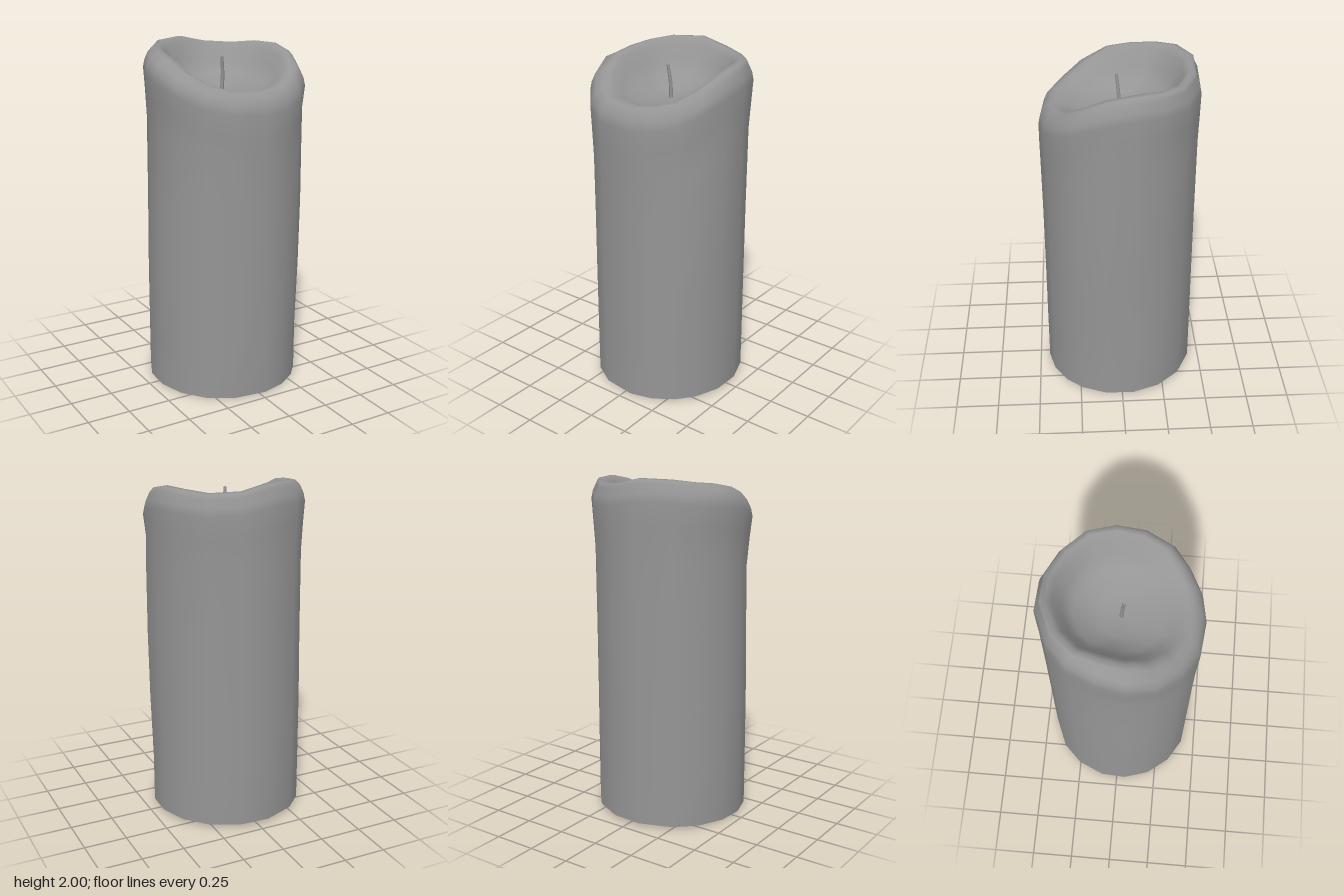
import * as THREE from 'three';

const FLOOR = 1.73;

// Columns around the candle, from the front towards +x: [x, z] of the rim's outer edge and its crest height
const COLUMNS = [
  [0.04, 0.446, 1.77], [0.18, 0.418, 1.785], [0.305, 0.348, 1.815], [0.4, 0.255, 1.875],
  [0.45, 0.1, 1.938], [0.452, -0.07, 1.967], [0.402, -0.232, 1.967], [0.282, -0.358, 1.953],
  [0.108, -0.442, 1.963], [-0.07, -0.446, 1.998], [-0.256, -0.368, 1.993], [-0.37, -0.258, 1.975],
  [-0.434, -0.1, 1.96], [-0.456, 0.055, 1.938], [-0.41, 0.212, 1.875], [-0.3, 0.338, 1.812],
  [-0.162, 0.424, 1.78],
].map(([x, z, crest]) => ({ angle: Math.atan2(x, z), edge: Math.hypot(x, z), crest }));
const SIDES = COLUMNS.length;

// Smooth bump of 1 at angle "at", fading to 0 at "width" radians away
function bump(a, at, width) {
  const d = Math.abs(Math.atan2(Math.sin(a - at), Math.cos(a - at)));
  return d < width ? 0.5 + 0.5 * Math.cos(Math.PI * d / width) : 0;
}

// One vertical profile, from the foot over the rim and down into the bowl: [radius, height]
function profile({ angle, edge, crest }) {
  const back = 0.5 - 0.5 * Math.cos(angle);
  const foot = 0.01 - 0.009 * Math.cos(angle) + 0.004 * Math.sin(angle);
  const swell = 0.02 * bump(angle, 1.15, 0.9);
  const waist = 0.018 * bump(angle, -1.6, 1.3);
  const r = edge - 0.085 + 0.03 * back - 0.035 * bump(angle, -1.5, 1.2);
  const wall = (t) => FLOOR + (crest - FLOOR) * t;
  return [
    [0.445, foot],
    [0.445, 0.3],
    [0.444 + swell * 0.7, 0.7],
    [0.444 + swell - waist * 0.5, 1.1],
    [0.446 + swell * 0.8 - waist, crest - 0.4],
    [(0.448 + edge) / 2 - waist * 0.6, crest - 0.24],
    [edge, crest - 0.12],
    [edge - 0.009, crest - 0.075],
    [edge - 0.03, crest - 0.03],
    [r + 0.02, crest - 0.004],
    [r - 0.01, crest],
    [r - 0.045, wall(0.86)],
    [r - 0.085, wall(0.55)],
    [r - 0.14, wall(0.23)],
    [0.12, wall(0.03)],
  ];
}

// Place a profile point on its column
const place = ({ angle }, [r, y]) => [r * Math.sin(angle), y, r * Math.cos(angle)];

// Wax shell: closed rings joined in loops, with the bowl floor closed to a point
function waxGeometry() {
  const profiles = COLUMNS.map(profile);
  const rings = profiles[0].length;
  const positions = [], index = [];
  for (let j = 0; j < rings; j++) {
    COLUMNS.forEach((column, i) => positions.push(...place(column, profiles[i][j])));
  }
  const centre = rings * SIDES;
  positions.push(0, FLOOR - 0.002, 0);
  for (let i = 0; i < SIDES; i++) {
    const n = (i + 1) % SIDES;
    for (let j = 0; j < rings - 1; j++) {
      const p = j * SIDES, q = p + SIDES;
      index.push(p + i, p + n, q + n, p + i, q + n, q + i);
    }
    const last = (rings - 1) * SIDES;
    index.push(last + i, last + n, centre);
  }
  return build(positions, index);
}

// Flat underside, following the slightly tilted foot
function baseGeometry() {
  const positions = [0, 0.01, 0], index = [];
  COLUMNS.forEach((column, i) => {
    positions.push(...place(column, profile(column)[0]));
    index.push(0, 1 + (i + 1) % SIDES, 1 + i);
  });
  return build(positions, index);
}

function build(positions, index) {
  const geometry = new THREE.BufferGeometry();
  geometry.setAttribute('position', new THREE.Float32BufferAttribute(positions, 3));
  geometry.setIndex(index);
  geometry.computeVertexNormals();
  return geometry;
}

// Thin capped cylinder bent along a gentle curve
function wickGeometry() {
  const geometry = new THREE.CylinderGeometry(0.009, 0.012, 0.22, 7, 5);
  const path = new THREE.CatmullRomCurve3([
    new THREE.Vector3(0.003, 0, -0.006),
    new THREE.Vector3(0.005, 0, 0.001),
    new THREE.Vector3(-0.006, 0, 0.012),
  ]);
  const p = geometry.attributes.position;
  for (let i = 0; i < p.count; i++) {
    const bend = path.getPoint(THREE.MathUtils.clamp(p.getY(i) / 0.22 + 0.5, 0, 1));
    p.setXYZ(i, p.getX(i) + bend.x, p.getY(i) + 1.81, p.getZ(i) + bend.z);
  }
  geometry.computeVertexNormals();
  return geometry;
}

export function createModel() {
  const group = new THREE.Group();
  group.name = 'candle';
  const material = new THREE.MeshStandardMaterial({ color: 0x959595 });
  const add = (name, geometry) => {
    const mesh = new THREE.Mesh(geometry, material);
    mesh.name = name;
    group.add(mesh);
  };
  add('waxBody', waxGeometry());
  add('waxBase', baseGeometry());
  add('wick', wickGeometry());
  return group;
}
